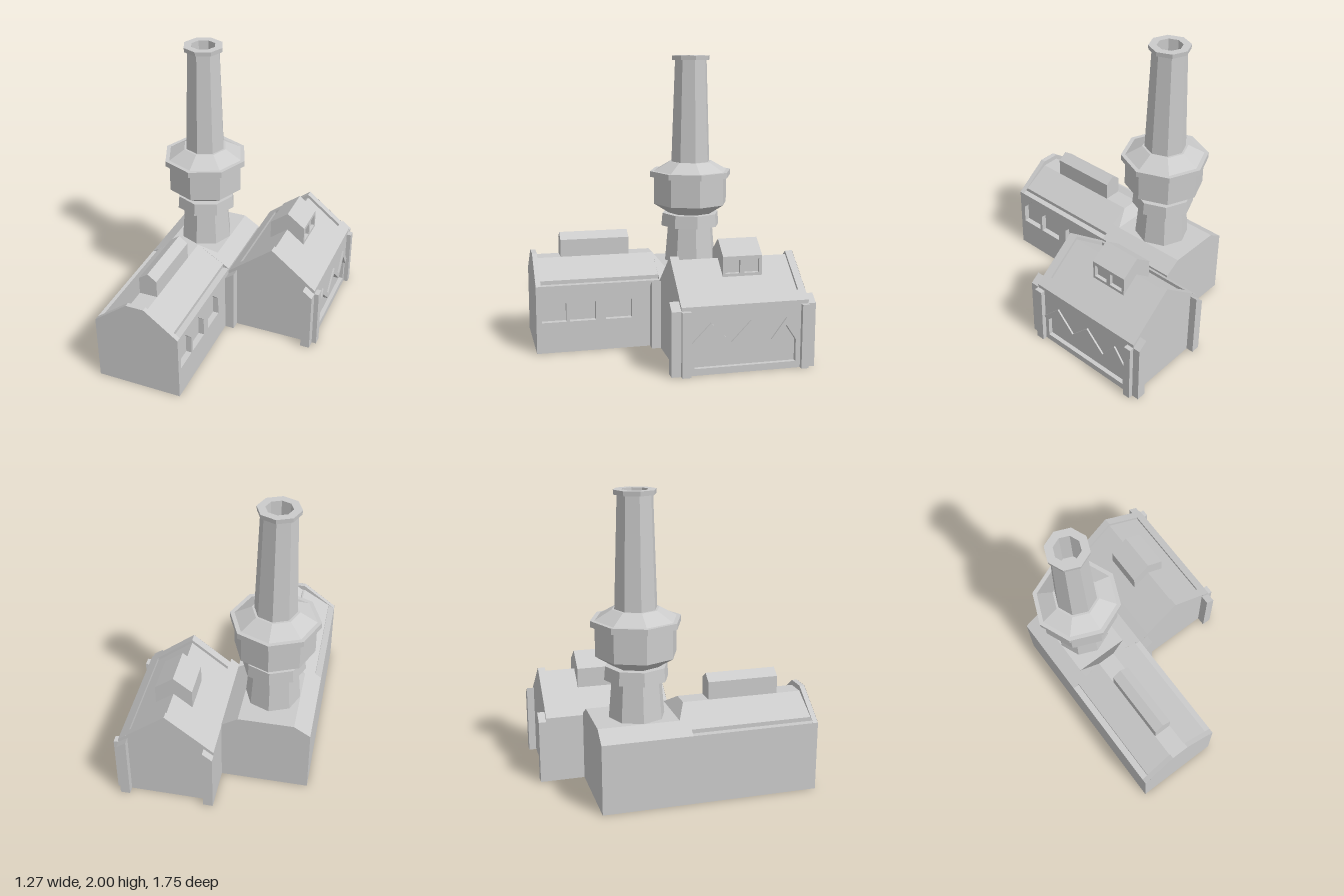
import * as THREE from 'three';
import { ConvexGeometry } from 'three/addons/geometries/ConvexGeometry.js';

const material = new THREE.MeshStandardMaterial({ color: 0xcccccc, flatShading: true, side: THREE.DoubleSide });
const vectors = (pts) => pts.map(([a, b]) => new THREE.Vector2(a, b));
const rect = (a0, a1, b0, b1) => [[a0, b0], [a1, b0], [a1, b1], [a0, b1]];

function add(parent, name, geometry) {
  const mesh = new THREE.Mesh(geometry, material);
  mesh.name = name;
  parent.add(mesh);
}

// Solid: cross-section in x/y, run along z from z0 to z1
function alongZ(pts, z0, z1) {
  const geo = new THREE.ExtrudeGeometry(new THREE.Shape(vectors(pts)), { depth: z1 - z0, bevelEnabled: false });
  return geo.translate(0, 0, z0);
}

// Solid: outline in z/y with optional holes, run along x from x0 to x1
function alongX(pts, x0, x1, holes = []) {
  const flip = (list) => vectors(list.map(([z, y]) => [-z, y]));
  const shape = new THREE.Shape(flip(pts));
  holes.forEach((h) => shape.holes.push(new THREE.Path(flip(h))));
  const geo = new THREE.ExtrudeGeometry(shape, { depth: x1 - x0, bevelEnabled: false });
  return geo.rotateY(Math.PI / 2).translate(x0, 0, 0);
}

// Open sheet: an x/y path swept along z (path runs from -x over the top to +x)
function sheet(path, z0, z1) {
  const pos = [];
  for (let i = 0; i + 1 < path.length; i++) {
    const [a, b] = [path[i], path[i + 1]];
    pos.push(...a, z0, ...a, z1, ...b, z1, ...a, z0, ...b, z1, ...b, z0);
  }
  const geo = new THREE.BufferGeometry();
  geo.setAttribute('position', new THREE.Float32BufferAttribute(pos, 3));
  geo.computeVertexNormals();
  return geo;
}

// Flat wall in the x/y plane at z, facing front or back
function endWall(pts, z, facesBack = false) {
  const geo = new THREE.ShapeGeometry(new THREE.Shape(vectors(pts)));
  if (facesBack) geo.index.array.reverse();
  geo.computeVertexNormals();
  return geo.translate(0, 0, z);
}

function leftHall() {
  const hall = new THREE.Group();
  hall.name = 'leftHall';
  const x0 = -0.635, x1 = -0.04, f0 = -0.4, f1 = -0.275, eave = 0.47, ridge = 0.65, roof = 0.615;
  const rim = 0.044, lip = 0.497, wall = 0.04, wallTop = 0.445, flat = 0.54;
  const step = 0.02, front = 0.875, back = -0.575;

  // Front gable with a coping standing proud of the roof
  add(hall, 'frontGable', endWall([[x0, 0], [x1, 0], [x1, eave], [f1, ridge], [f0, ridge], [x0, eave]], front));
  add(hall, 'gableCoping', alongZ([
    [x0, eave], [f0, roof], [f1, roof], [x1, eave], [f1, ridge], [f0, ridge],
  ], 0.84, front - 0.001));

  // Main roof and left wall, with a narrow ledge along both eaves
  add(hall, 'mainRoof', sheet([
    [x0, 0], [x0, eave], [x0 + rim, eave], [x0 + rim, lip], [f0, roof],
    [f1, roof], [x1 - rim, lip], [x1 - rim, eave], [x1, eave], [x1, wallTop],
  ], step, front));

  // Side wall with pointed window recesses
  const windows = [[0.67, 0.837], [0.467, 0.648], [0.215, 0.397]].map(([a, b]) => [
    [a, 0.215], [b, 0.215], [b, 0.345], [(a + b) / 2, 0.43], [a, 0.345],
  ]);
  const side = rect(step, front, 0, wallTop);
  add(hall, 'windowWall', alongX(side, x1 - wall, x1, windows));
  add(hall, 'windowBacks', alongX(side, x1 - wall - 0.004, x1 - wall));

  // Rear block with a flat top under the chimney
  const rear = [[x0, 0], [x0, eave], [-0.525, flat], [-0.15, flat], [x1, eave], [x1, 0]];
  add(hall, 'rearRoof', sheet(rear, back, step));
  add(hall, 'rearWall', endWall(rear, back, true));
  for (const [x, s] of [[x0, 1], [x1, -1]]) {
    add(hall, 'roofStep', endWall([[x, eave], [x + s * rim, eave], [x + s * rim, lip]], step));
  }
  const slope = [
    [-0.525, flat, -0.04], [-0.15, flat, -0.04], [-0.525, flat, step],
    [-0.15, flat, step], [f0, roof, step], [f1, roof, step],
  ].map((p) => new THREE.Vector3(...p));
  add(hall, 'roofTransition', new ConvexGeometry(slope));

  // Ridge ventilator
  add(hall, 'ridgeVent', alongZ([[f0, roof], [f1, roof], [f1, 0.735], [-0.337, 0.78], [f0, 0.735]], 0.193, 0.675));
  return hall;
}

function rightHall() {
  const hall = new THREE.Group();
  hall.name = 'rightHall';
  const x0 = -0.04, x1 = 0.6, mid = 0.28, eave = 0.455, ridge = 0.71;
  const rim = 0.065, lip = 0.507, drop = 0.025, wall = 0.03, wallTop = 0.44;
  const back = -0.825, front = 0.025, inBack = -0.775, inFront = -0.035;

  // Gable walls with copings
  const gable = [[x0, 0], [x1, 0], [x1, eave], [mid, ridge], [x0, eave]];
  add(hall, 'frontGable', endWall(gable, front));
  add(hall, 'backGable', endWall(gable, back, true));
  const coping = [
    [x0 + rim, lip - drop], [mid, ridge - drop], [x1 - rim, lip - drop],
    [x1 - rim, lip], [mid, ridge], [x0 + rim, lip],
  ];
  add(hall, 'gableCoping', alongZ(coping, inFront, front - 0.001));
  add(hall, 'gableCoping', alongZ(coping, back + 0.001, inBack));

  // Left wall and sunken roof between the eave rims
  add(hall, 'roof', sheet([
    [x0, 0], [x0, eave], [x0 + rim, lip], [x0 + rim, lip - drop], [mid, ridge - drop],
    [x1 - rim, lip - drop], [x1 - rim, lip], [x1, eave], [x1, wallTop],
  ], back, front));

  // Side wall with zigzag-topped recess and raised trim above it
  const zs = [-0.168, -0.302, -0.434, -0.572, -0.673];
  const inner = [[-0.063, 0.19], ...zs.map((z, i) => [z, i % 2 ? 0.165 : 0.297]), [-0.743, 0.19]];
  const outer = [[-0.035, 0.21], ...zs.map((z, i) => [z, i % 2 ? 0.21 : 0.347]), [-0.772, 0.215]];
  const recess = [[-0.063, 0.045], ...inner, [-0.743, 0.045]];
  const side = rect(back, front, 0, wallTop);
  add(hall, 'zigzagWall', alongX(side, x1 - wall, x1, [recess]));
  add(hall, 'recessBack', alongX(side, x1 - wall - 0.004, x1 - wall));
  add(hall, 'zigzagTrim', alongX([...outer, ...inner.slice().reverse()], x1 - 0.01, x1 + 0.012));

  // Corner buttresses with sloping tops, and flat ones on the side wall
  for (const [z0, z1] of [[front, 0.088], [-0.875, back]]) {
    for (const s of [-1, 1]) {
      const pts = [[0.32, 0], [0.32, 0.43], [0.255, 0.48], [0.255, 0]].map(([x, y]) => [mid + s * x, y]);
      add(hall, 'endButtress', alongZ(pts, z0, z1));
    }
  }
  for (const [z0, z1] of [[inFront, front], [back, inBack]]) {
    add(hall, 'sideButtress', alongX(rect(z0, z1, 0, 0.43), x1, 0.632));
  }

  // Roof lantern with two recessed windows
  const lantern = new THREE.Group();
  lantern.name = 'roofLantern';
  add(lantern, 'lanternBody', alongZ([
    [0.155, 0.586], [mid, 0.685], [0.38, 0.606], [0.38, 0.708], [0.405, 0.708],
    [0.405, 0.72], [mid, 0.815], [0.155, 0.72],
  ], -0.57, -0.303));
  add(lantern, 'lanternWindows', alongX(rect(-0.57, -0.303, 0.585, 0.708), 0.38, 0.405,
    [rect(-0.42, -0.32, 0.605, 0.695), rect(-0.55, -0.45, 0.605, 0.695)]));
  hall.add(lantern);
  return hall;
}

function chimney() {
  const group = new THREE.Group();
  group.name = 'chimney';
  const ring = (name, pts) => add(group, name, new THREE.LatheGeometry(vectors(pts), 8));
  ring('base', [[0.187, 0.53], [0.163, 0.81]]);
  ring('lowerBand', [[0.16, 0.795], [0.213, 0.795], [0.205, 0.885], [0.14, 0.885]]);
  ring('drum', [[0.15, 0.88], [0.268, 0.955], [0.268, 1.15]]);
  ring('collar', [[0.265, 1.15], [0.297, 1.15], [0.297, 1.19], [0.268, 1.19], [0.155, 1.255], [0.13, 1.255]]);
  // Tapering stack with rim and hollow flue
  ring('stack', [
    [0.14, 1.25], [0.115, 1.97], [0.135, 1.97], [0.138, 2], [0.085, 2], [0.085, 1.7], [0, 1.7],
  ]);
  group.position.set(-0.337, 0, -0.275);
  return group;
}

export function createModel() {
  const model = new THREE.Group();
  model.name = 'factory';
  model.add(leftHall(), rightHall(), chimney());
  return model;
}
